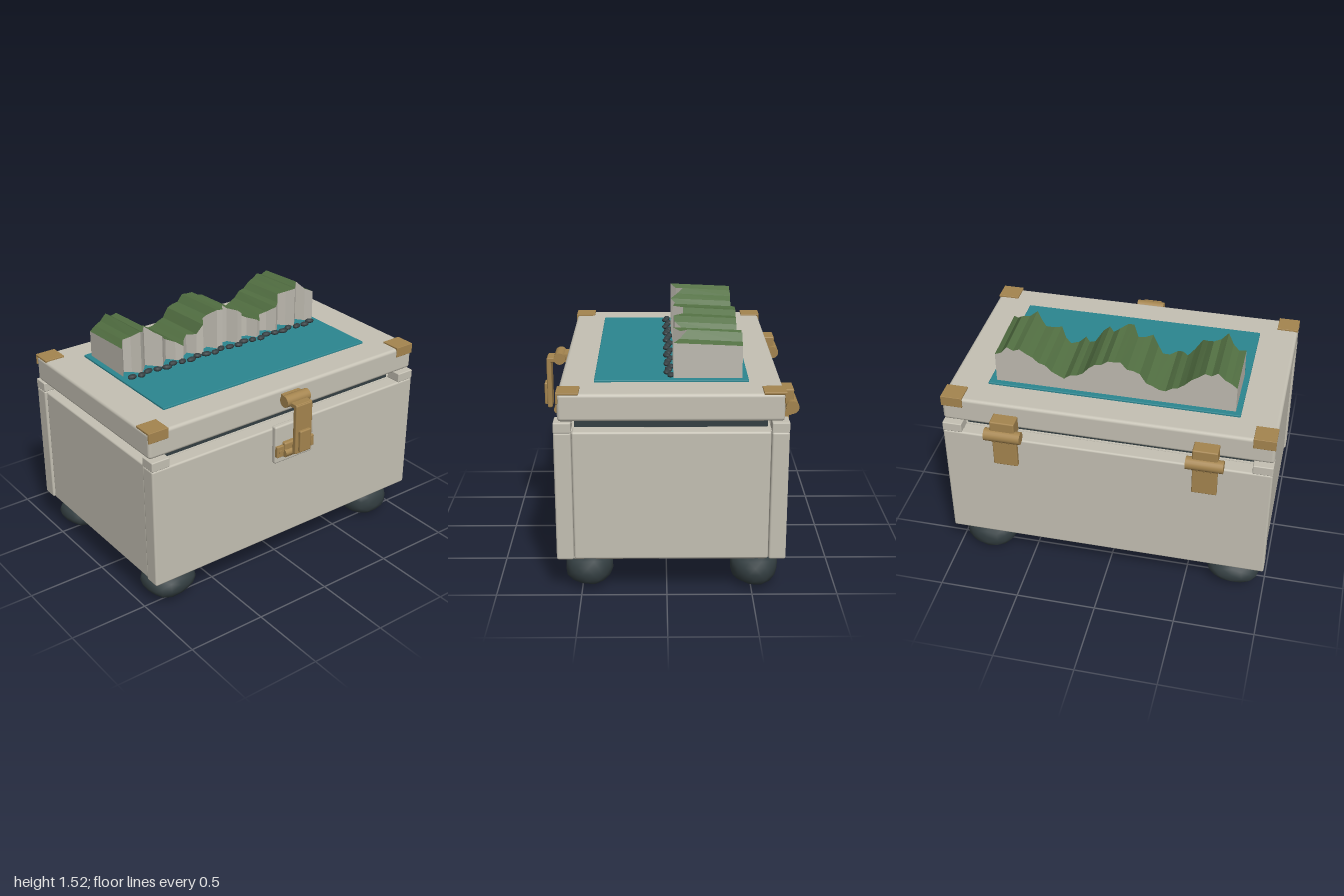
import * as THREE from 'three';
import { mergeVertices } from 'three/addons/utils/BufferGeometryUtils.js';
import { RoundedBoxGeometry } from 'three/addons/geometries/RoundedBoxGeometry.js';

const material = (name, color, extra = {}) => {
  const m = new THREE.MeshStandardMaterial({ color, ...extra });
  m.name = name;
  return m;
};

export function createModel() {
  const stone = material('pale stone', 0xc5c1b4);
  const dark = material('dark slate', 0x343f42);
  const brass = material('brass', 0xa5854f);
  const teal = material('teal water', 0x2b8690);
  const grass = material('grass green', 0x526f42, { flatShading: true });
  const rock = material('cliff grey', 0xc0bcb2, { flatShading: true });
  const model = new THREE.Group();
  model.name = 'chest';

  const add = (name, geometry, mat, x = 0, y = 0, z = 0, parent = model) => {
    const mesh = new THREE.Mesh(geometry, mat);
    mesh.name = name;
    mesh.position.set(x, y, z);
    parent.add(mesh);
    return mesh;
  };
  // Box given by its limits on each axis, with softened edges when r > 0
  const box = (name, mat, [x0, x1], [y0, y1], [z0, z1], r = 0, parent = model) => {
    const s = [x1 - x0, y1 - y0, z1 - z0];
    const g = r ? new RoundedBoxGeometry(...s, 2, r) : new THREE.BoxGeometry(...s);
    return add(name, g, mat, (x0 + x1) / 2, (y0 + y1) / 2, (z0 + z1) / 2, parent);
  };
  // Pin lying along x
  const pin = (name, mat, r, length, x, y, z, parent) => {
    const g = new THREE.CylinderGeometry(r, r, length, 20).rotateZ(Math.PI / 2);
    return add(name, g, mat, x, y, z, parent);
  };
  const group = (name) => {
    const g = new THREE.Group();
    g.name = name;
    model.add(g);
    return g;
  };
  const span = (c, half) => [c - half, c + half];

  // Body panels, base, seal and lid
  box('frontPanel', stone, [-1, 1], [0.23, 1.01], [0.54, 0.64], 0.012);
  box('backPanel', stone, [-1, 1], [0.23, 1.01], [-0.69, -0.59], 0.012);
  box('core', stone, [-0.95, 0.95], [0.225, 1.005], [-0.6, 0.56]);
  for (const s of [-1, 1]) {
    box('sidePanel', stone, span(s * 0.94, 0.05), [0.23, 1.01], [-0.588, 0.538], 0.012);
    box('frontLug', stone, span(s * 0.94, 0.06), [1.008, 1.068], [0.54, 0.64], 0.006);
    box('backLug', stone, span(s * 0.94, 0.06), [1.008, 1.068], [-0.69, -0.59], 0.006);
  }
  box('base', stone, [-0.91, 0.91], [0.19, 0.24], [-0.59, 0.55], 0.01);
  box('seal', dark, [-0.88, 0.88], [1.0, 1.065], [-0.575, 0.527]);
  box('lid', stone, [-1, 1], [1.075, 1.236], [-0.66, 0.615], 0.02);

  // Brass corner caps: a top plate and a short plate turned down
  for (const sx of [-1, 1]) {
    for (const [z, s] of [[0.62, 1], [-0.668, -1]]) {
      const cap = group('cornerCap');
      const a = z - s * 0.128;
      box('capTop', brass, span(sx * 0.936, 0.066), [1.232, 1.246], [Math.min(a, z), Math.max(a, z)], 0.003, cap);
      box('capFace', brass, span(sx * 0.936, 0.066), [1.18, 1.243], span(z - s * 0.006, 0.006), 0.003, cap);
    }
  }

  // Lumpy stone feet
  const foot = (seed) => {
    let g = new THREE.IcosahedronGeometry(1, 2);
    g.deleteAttribute('normal');
    g.deleteAttribute('uv');
    g = mergeVertices(g, 1e-3);
    const p = g.attributes.position;
    for (let i = 0; i < p.count; i++) {
      const [x, y, z] = [p.getX(i), p.getY(i), p.getZ(i)];
      const k = 1 + 0.05 * Math.sin(3 * x + seed) * Math.cos(4 * z - seed) + 0.03 * Math.sin(5 * y + 2 * seed);
      // Squared-off ellipsoid
      const soft = (v) => Math.sign(v) * Math.abs(v) ** 0.9;
      p.setXYZ(i, 0.165 * k * soft(x), 0.1 * k * soft(y), 0.143 * k * soft(z));
    }
    g.computeVertexNormals();
    return g;
  };
  [[-0.8, 0.465], [0.8, 0.465], [-0.8, -0.52], [0.8, -0.52]].forEach(([x, z], i) =>
    add('foot', foot(i * 1.7 + 0.5), dark, x, z > 0 ? 0.113 : 0.107, z));

  // Front latch
  const latch = group('latch');
  box('latchPlate', stone, [-0.148, 0.146], [0.778, 1.028], [0.63, 0.67], 0.012, latch);
  box('latchBracket', brass, [-0.145, 0.14], [0.825, 0.9], [0.66, 0.688], 0.006, latch);
  box('latchKeeper', brass, [-0.095, 0.09], [0.815, 0.918], [0.66, 0.698], 0.012, latch);
  pin('keeperPin', brass, 0.024, 0.19, -0.002, 0.85, 0.69, latch);
  for (const x of [-0.118, 0.114]) {
    const screw = new THREE.CylinderGeometry(0.014, 0.014, 0.01, 12).rotateX(Math.PI / 2);
    add('screw', screw, brass, x, 0.862, 0.69, latch);
  }
  box('latchStrap', brass, [-0.064, 0.06], [0.855, 1.18], [0.725, 0.756], 0.008, latch);
  box('latchTab', brass, [-0.043, 0.04], [0.87, 1.013], [0.75, 0.775], 0.008, latch);
  box('latchArm', brass, [-0.064, 0.06], [1.155, 1.185], [0.665, 0.752], 0.006, latch);
  pin('latchPin', brass, 0.037, 0.176, -0.002, 1.184, 0.67, latch);
  box('latchMount', brass, [-0.07, 0.066], [1.16, 1.208], [0.608, 0.67], 0, latch);

  // Back hinges
  for (const x of [-0.608, 0.605]) {
    const hinge = group('hinge');
    pin('hingePin', brass, 0.039, 0.222, x, 1.065, -0.735, hinge);
    box('hingeUpper', brass, span(x, 0.075), [1.065, 1.165], [-0.745, -0.65], 0.008, hinge);
    box('hingeStrap', brass, span(x, 0.075), [0.828, 1.03], [-0.72, -0.688], 0.006, hinge);
    box('hingeKnuckle', brass, span(x, 0.075), [1.005, 1.06], [-0.735, -0.692], 0.005, hinge);
  }

  // Water plate on the lid
  box('water', teal, [-0.768, 0.764], [1.23, 1.248], [-0.473, 0.417], 0.005);

  // Cliff: ridge heights in even steps along x, with a scalloped front
  const ridge = [1.43, 1.46, 1.48, 1.52, 1.495, 1.505, 1.475, 1.45, 1.41, 1.38, 1.37, 1.345, 1.35,
    1.37, 1.385, 1.445, 1.46, 1.465, 1.51, 1.505, 1.505, 1.475, 1.47, 1.44, 1.395, 1.375, 1.37,
    1.34, 1.36, 1.38, 1.42, 1.43, 1.465, 1.485, 1.51, 1.495, 1.515, 1.47, 1.455];
  const ground = 1.246;
  const back = -0.437;
  const columns = ridge.map((h, i) => {
    const x = -0.735 + i * 0.0383;
    const z = -0.08 - 0.042 * Math.cos((2 * Math.PI * (x + 0.69)) / 0.148);
    return {
      topFront: [x, h, z], lowFront: [x, ground, z],
      topBack: [x, h - 0.018, back], lowBack: [x, ground, back],
    };
  });
  const quads = (list) => {
    const g = new THREE.BufferGeometry();
    const points = list.flatMap(([a, b, c, d]) => [...a, ...b, ...c, ...a, ...c, ...d]);
    g.setAttribute('position', new THREE.Float32BufferAttribute(points, 3));
    g.computeVertexNormals();
    return g;
  };
  const tops = [];
  const walls = [];
  for (let i = 0; i < columns.length - 1; i++) {
    const [l, r] = [columns[i], columns[i + 1]];
    tops.push([l.topFront, r.topFront, r.topBack, l.topBack]);
    walls.push([l.lowFront, r.lowFront, r.topFront, l.topFront]);
    walls.push([r.lowBack, l.lowBack, l.topBack, r.topBack]);
  }
  const [first, last] = [columns[0], columns[columns.length - 1]];
  walls.push([first.lowBack, first.lowFront, first.topFront, first.topBack]);
  walls.push([last.lowFront, last.lowBack, last.topBack, last.topFront]);
  add('cliffGrass', quads(tops), grass);
  add('cliffWalls', quads(walls), rock);

  // Pebbles along the shore
  const pebbles = group('pebbles');
  const pebble = new THREE.SphereGeometry(1, 10, 7);
  for (let i = 0; i < 24; i++) {
    const m = add('pebble', pebble, dark, -0.703 + i * 0.0605, 1.258, -0.014 + 0.013 * Math.sin(i * 2.1), pebbles);
    m.scale.set(0.03 + 0.003 * Math.sin(i * 3.7), 0.015, 0.021);
    m.rotation.y = 0.4 * Math.sin(i * 1.3);
  }
  return model;
}
